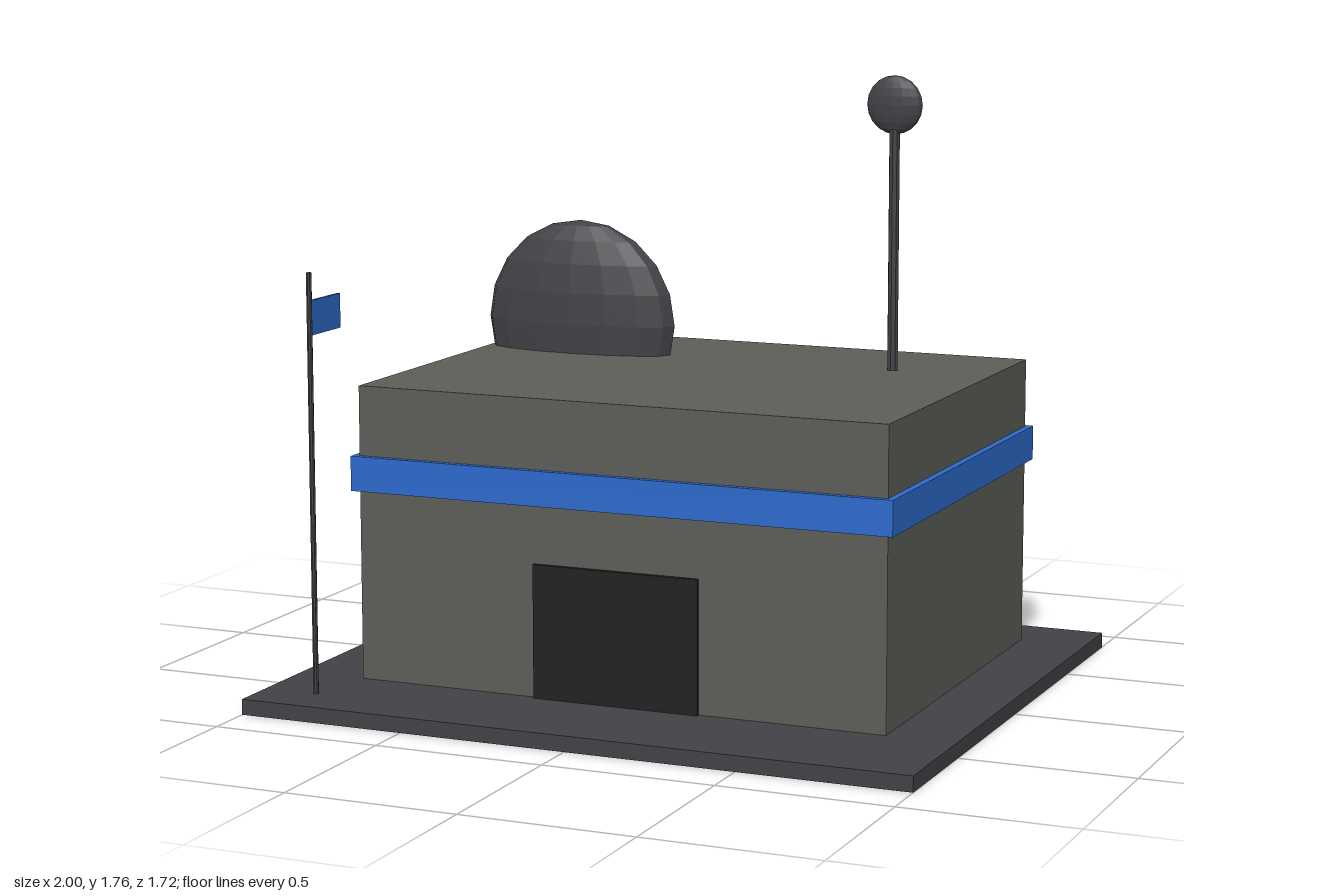
import * as THREE from 'three';

const material = (name, color) => {
  const m = new THREE.MeshStandardMaterial({ color, flatShading: true });
  m.name = name;
  return m;
};

export function createModel() {
  const model = new THREE.Group();
  model.name = 'outpostBuilding';

  const wallGrey = material('wallGrey', 0x5c5e57);
  const darkGrey = material('darkGrey', 0x424146);
  const doorBlack = material('doorBlack', 0x222222);
  const trimBlue = material('trimBlue', 0x2d6acc);

  const add = (name, geometry, mat, x, y, z) => {
    const mesh = new THREE.Mesh(geometry, mat);
    mesh.name = name;
    mesh.position.set(x, y, z);
    model.add(mesh);
    return mesh;
  };
  // Box given by its lower and upper limits on each axis
  const box = (name, mat, [x0, x1], [y0, y1], [z0, z1]) =>
    add(name, new THREE.BoxGeometry(x1 - x0, y1 - y0, z1 - z0), mat,
      (x0 + x1) / 2, (y0 + y1) / 2, (z0 + z1) / 2);
  // Upright rod between two heights
  const rod = (name, radius, sides, x, y0, y1, z) =>
    add(name, new THREE.CylinderGeometry(radius, radius, y1 - y0, sides), darkGrey,
      x, (y0 + y1) / 2, z);
  // Faceted disc: a sphere flattened front to back
  const disc = (name, radius, depth, x, y, z) =>
    add(name, new THREE.SphereGeometry(radius, 16, 10), darkGrey, x, y, z)
      .scale.z = depth / radius;

  // Ground slab, main block, belt and door
  box('baseSlab', darkGrey, [-1, 1], [0, 0.045], [-0.86, 0.86]);
  box('mainBlock', wallGrey, [-0.8, 0.8], [0.045, 0.9], [-0.685, 0.515]);
  box('blueBelt', trimBlue, [-0.82, 0.82], [0.597, 0.698], [-0.702, 0.533]);
  box('door', doorBlack, [-0.25, 0.25], [0.045, 0.43], [0.5, 0.528]);

  // Roof dish and antenna
  disc('roofDish', 0.307, 0.091, -0.5, 0.988, -0.345);
  rod('antennaMast', 0.016, 8, 0.5, 0.9, 1.66, -0.345);
  disc('antennaKnob', 0.085, 0.028, 0.5, 1.675, -0.345);

  // Flagpole with its flag flying backwards
  rod('flagpole', 0.008, 8, -0.84, 0.045, 1.247, 0.72);
  box('flag', trimBlue, [-0.845, -0.835], [1.07, 1.168], [0.552, 0.716]);

  return model;
}
